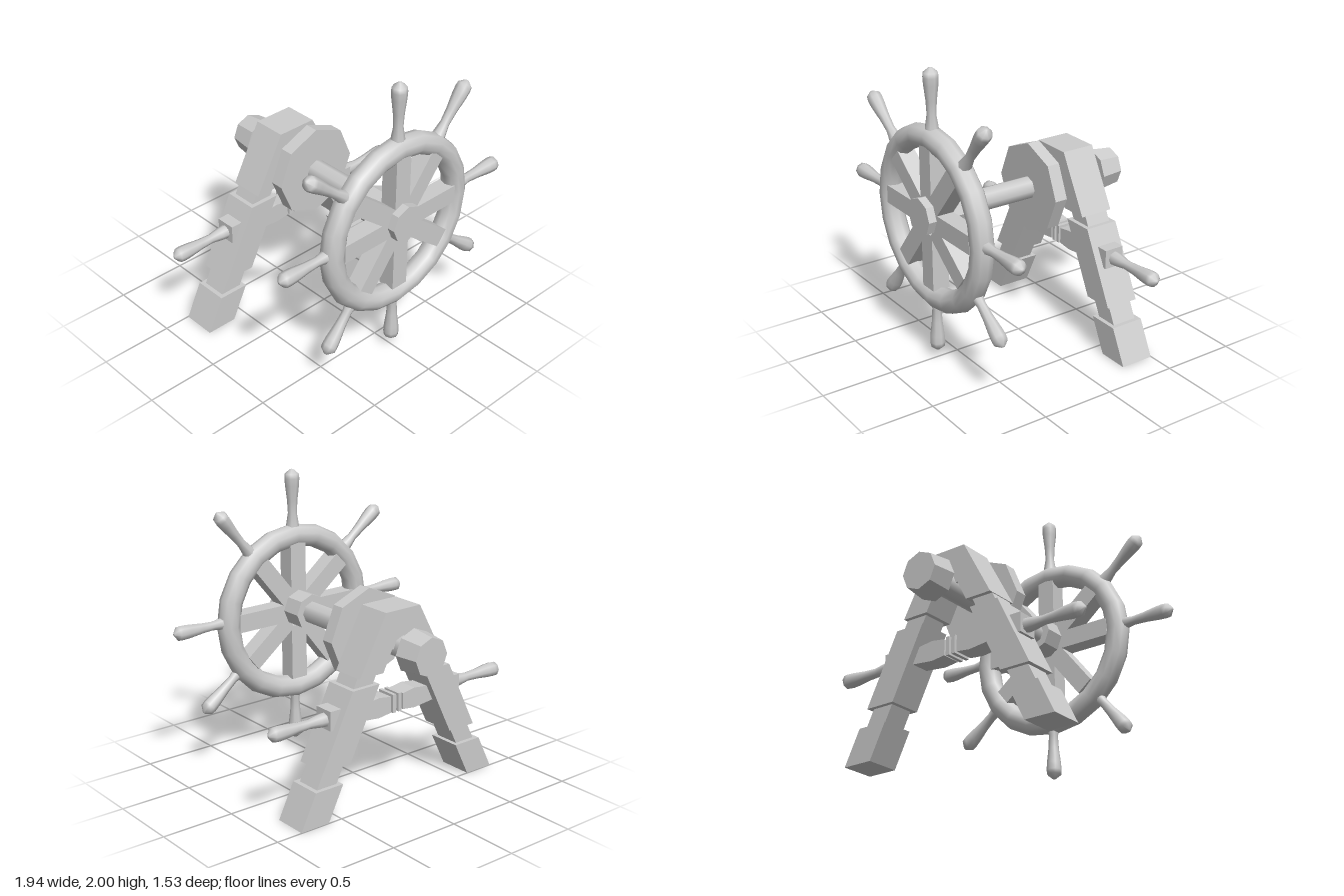
import * as THREE from 'three';

const mat = new THREE.MeshStandardMaterial({ color: 0xcccccc });
const flat = new THREE.MeshStandardMaterial({ color: 0xcccccc, flatShading: true });
const AXIS_Y = 1.04, WHEEL_Z = 0.65, FRAME_Z = -0.38;

function add(parent, name, geometry, material = flat) {
  const mesh = new THREE.Mesh(geometry, material);
  mesh.name = name;
  parent.add(mesh);
  return mesh;
}

// Flat outline in x/y, extruded evenly about the middle of the frame
function slab(points, depth) {
  const shape = new THREE.Shape(points.map(([x, y]) => new THREE.Vector2(x, y)));
  return new THREE.ExtrudeGeometry(shape, { depth, bevelEnabled: false })
    .translate(0, 0, FRAME_Z - depth / 2);
}

// Eight-sided part along z, from zFront back to zBack
function axial(parent, name, rFront, rBack, zFront, zBack, material = flat) {
  const g = new THREE.CylinderGeometry(rFront, rBack, zFront - zBack, 8).rotateX(Math.PI / 2);
  add(parent, name, g, material).position.set(0, AXIS_Y, (zFront + zBack) / 2);
}

// Turned grip along +y, starting at its base
const gripGeometry = new THREE.LatheGeometry([
  [0.048, 0], [0.044, 0.05], [0.031, 0.13], [0.036, 0.22], [0.048, 0.32],
  [0.051, 0.37], [0.048, 0.4], [0.012, 0.43], [0, 0.432],
].map(([x, y]) => new THREE.Vector2(x, y)), 8);

function grip(parent, name, x, y, z, angle) {
  const mesh = add(parent, name, gripGeometry, mat);
  mesh.position.set(x, y, z);
  mesh.rotation.z = angle - Math.PI / 2;
}

function buildWheel() {
  const wheel = new THREE.Group();
  wheel.name = 'wheel';
  add(wheel, 'rim', new THREE.TorusGeometry(0.546, 0.078, 10, 20), mat).position.set(0, 0.997, WHEEL_Z);
  // Spokes and grips share slightly uneven angles
  for (const deg of [0, 51, 90, 141, 180, 232, 270, 322]) {
    const a = THREE.MathUtils.degToRad(deg), c = Math.cos(a), s = Math.sin(a);
    const spoke = add(wheel, 'spoke', new THREE.BoxGeometry(0.39, 0.125, 0.12));
    spoke.position.set(c * 0.295, 1.015 + s * 0.295, WHEEL_Z);
    spoke.rotation.z = a;
    grip(wheel, 'wheelGrip', c * 0.54, 1.027 + s * 0.54, WHEEL_Z, a);
  }
  axial(wheel, 'hub', 0.127, 0.127, 0.765, 0.44);
  return wheel;
}

function buildAxle() {
  const axle = new THREE.Group();
  axle.name = 'axle';
  axial(axle, 'shaft', 0.077, 0.077, 0.5, -0.62, mat);
  axial(axle, 'disc', 0.31, 0.31, -0.075, -0.165);
  axial(axle, 'endCap', 0.15, 0.13, -0.6, -0.765);
  return axle;
}

// Leaning leg section for one side, between two heights
function legPart(side, y0, y1, inset) {
  const outer = (y) => 0.815 - 0.49 * y - inset;
  const inner = (y) => 0.6 - 0.49 * y + inset;
  const pts = [[inner(y0), y0], [outer(y0), y0], [outer(y1), y1], [inner(y1), y1]];
  return slab(pts.map(([x, y]) => [x * side, y]), 0.235 - inset * 2);
}

function buildFrame() {
  const frame = new THREE.Group();
  frame.name = 'frame';
  add(frame, 'archBlock', slab([
    [-0.35, 0.9], [-0.16, 0.9], [-0.09, 1.04], [0.09, 1.04], [0.16, 0.9],
    [0.35, 0.9], [0.14, 1.29], [-0.14, 1.29],
  ], 0.235));

  for (const side of [-1, 1]) {
    add(frame, 'foot', legPart(side, 0, 0.235, 0));
    add(frame, 'lowerNeck', legPart(side, 0.22, 0.37, 0.03));
    add(frame, 'legBlock', legPart(side, 0.355, 0.835, 0));
    add(frame, 'upperNeck', legPart(side, 0.82, 0.92, 0.03));

    // Half of the cross rail, swelling between collar and leg
    add(frame, 'crossRail', slab([
      [0.05, 0.59], [0.15, 0.578], [0.36, 0.6], [0.36, 0.69], [0.15, 0.715], [0.05, 0.7],
    ].map(([x, y]) => [x * side, y]), 0.135));
    add(frame, 'railCollar', new THREE.BoxGeometry(0.025, 0.125, 0.14))
      .position.set(side * 0.023, 0.647, FRAME_Z);

    // Square boss and grip outside the leg
    add(frame, 'boss', new THREE.BoxGeometry(0.14, 0.13, 0.14))
      .position.set(side * 0.475, 0.655, FRAME_Z);
    grip(frame, 'sideGrip', side * 0.54, 0.65, FRAME_Z - 0.005, side > 0 ? 0 : Math.PI);
  }
  add(frame, 'railNeck', new THREE.BoxGeometry(0.14, 0.09, 0.1)).position.set(0, 0.647, FRAME_Z);
  return frame;
}

export function createModel() {
  const model = new THREE.Group();
  model.name = 'wheelStand';
  model.add(buildWheel(), buildAxle(), buildFrame());
  return model;
}
